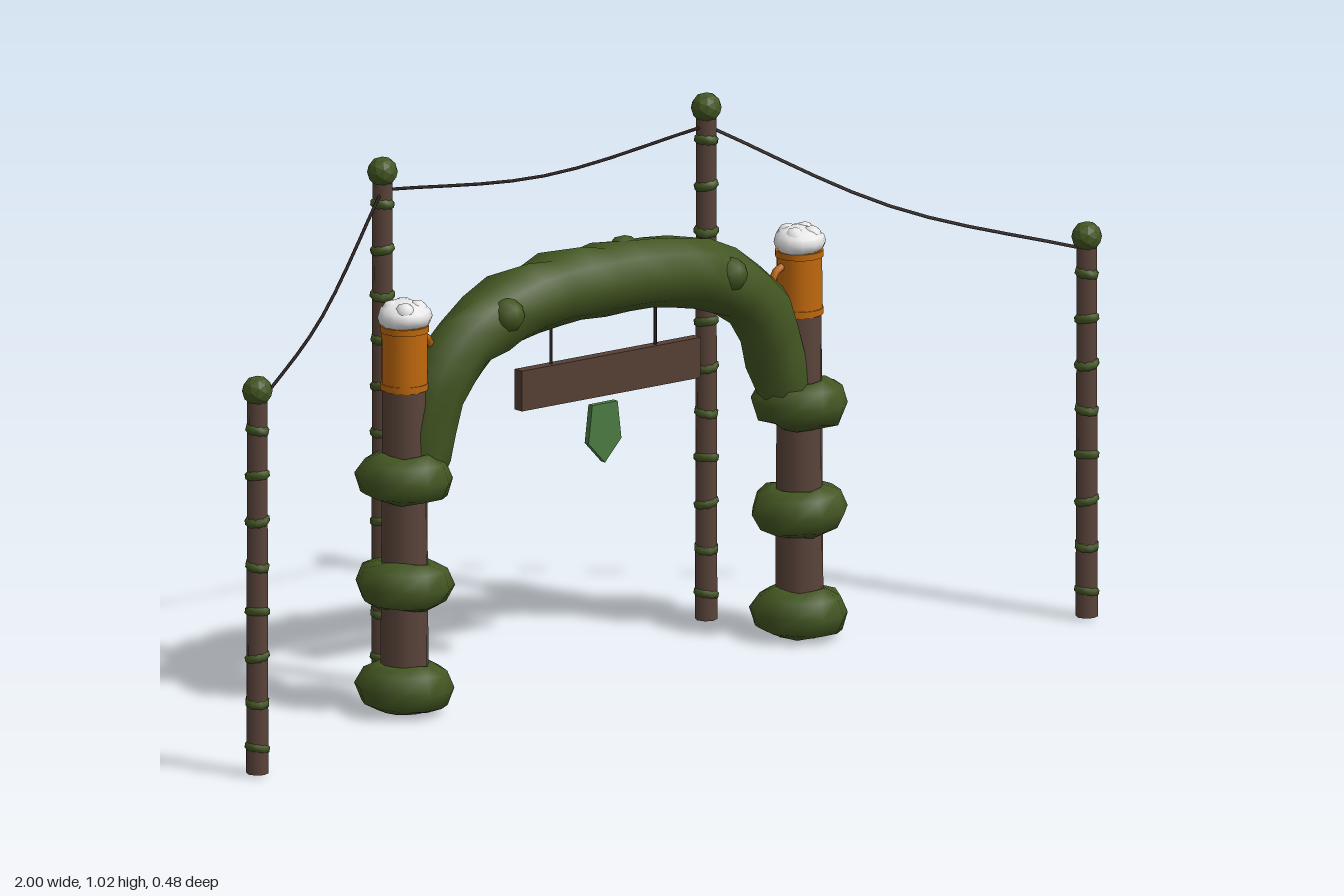
import * as THREE from 'three';
import { mergeVertices } from 'three/addons/utils/BufferGeometryUtils.js';

const mat = (name, color, extra = {}) => {
  const m = new THREE.MeshStandardMaterial({ color, ...extra });
  m.name = name;
  return m;
};
const V = (x, y, z) => new THREE.Vector3(x, y, z);

export function createModel() {
  const root = new THREE.Group();
  root.name = 'festivalArch';

  const moss = mat('moss green', 0x435622);
  const mossFacet = moss.clone();
  mossFacet.flatShading = true;
  const wood = mat('brown wood', 0x5a443a);
  const sign = mat('dark sign wood', 0x553f35);
  const amber = mat('amber', 0xc0680c);
  const foam = mat('white foam', 0xeeeeee);
  const rope = mat('dark rope', 0x2e2422);
  const leaf = mat('pennant green', 0x4b7a42);

  const add = (parent, name, geometry, material, x = 0, y = 0, z = 0) => {
    const mesh = new THREE.Mesh(geometry, material);
    mesh.name = name;
    mesh.position.set(x, y, z);
    parent.add(mesh);
    return mesh;
  };

  // Weld seams and push vertices gently in and out for an organic surface
  const lumpy = (geometry, amount, phase = 0) => {
    geometry.deleteAttribute('uv');
    geometry.deleteAttribute('normal');
    const g = mergeVertices(geometry, 1e-4);
    g.computeVertexNormals();
    const p = g.attributes.position, n = g.attributes.normal;
    for (let i = 0; i < p.count; i++) {
      const x = p.getX(i), y = p.getY(i), z = p.getZ(i);
      const d = amount * Math.sin(x * 47 + phase) * Math.cos(z * 61 + y * 33 + phase * 2);
      p.setXYZ(i, x + n.getX(i) * d, y + n.getY(i) * d, z + n.getZ(i) * d);
    }
    g.computeVertexNormals();
    return g;
  };

  // Slim poles with moss tufts and a moss knob
  const poles = [
    [-0.975, 0.18, 0.75], [-0.378, -0.205, 1.0],
    [0.395, -0.21, 1.0], [0.97, 0.212, 0.745],
  ];
  poles.forEach(([x, z, h], k) => {
    const pole = new THREE.Group();
    pole.name = 'pole' + (k + 1);
    pole.position.set(x, 0, z);
    root.add(pole);
    add(pole, 'poleShaft', new THREE.CylinderGeometry(0.019, 0.021, h - 0.01, 8), wood, 0, (h + 0.01) / 2, 0);
    for (let i = 0, y = 0.06; y < h - 0.05; i++, y += 0.0878) {
      const tuft = add(pole, 'poleMoss', new THREE.SphereGeometry(0.025, 8, 5), moss, 0, y, 0);
      tuft.scale.y = 0.6;
      tuft.rotation.set(0, i * 1.3, i % 2 ? 0.25 : -0.25);
    }
    add(pole, 'poleKnob', new THREE.IcosahedronGeometry(0.029, 1), mossFacet, 0, h, 0);
  });

  // Sagging ropes from pole to pole
  const ropes = [
    [V(-0.975, 0.72, 0.18), V(-0.67, 0.803, -0.015), V(-0.378, 0.965, -0.205)],
    [V(-0.378, 0.965, -0.205), V(0.008, 0.93, -0.207), V(0.395, 0.965, -0.21)],
    [V(0.395, 0.965, -0.21), V(0.68, 0.803, -0.005), V(0.97, 0.72, 0.212)],
  ];
  ropes.forEach((pts) =>
    add(root, 'rope', new THREE.TubeGeometry(new THREE.CatmullRomCurve3(pts), 10, 0.0033, 5), rope));

  // Pillars wrapped in moss, each topped with a frothy mug
  for (const [s, z] of [[-1, -0.026], [1, -0.016]]) {
    const pillar = new THREE.Group();
    pillar.name = s < 0 ? 'rightPillar' : 'leftPillar';
    pillar.position.set(s * 0.465, 0, z);
    root.add(pillar);
    add(pillar, 'pillarShaft', new THREE.CylinderGeometry(0.042, 0.046, 0.62, 12), wood, 0, 0.32, 0);
    [0.054, 0.253, 0.46].forEach((y, i) => {
      const ring = new THREE.TorusGeometry(0.048, 0.045, 8, 11).rotateX(Math.PI / 2);
      const m = add(pillar, 'mossRing', lumpy(ring, 0.005, i + s), moss, 0, y, 0);
      m.rotation.z = -0.05 * (i === 1 ? -s : 1);
    });
    add(pillar, 'mugBody', new THREE.CylinderGeometry(0.043, 0.044, 0.125, 16), amber, 0, 0.692, 0);
    for (const y of [0.637, 0.748])
      add(pillar, 'mugRim', new THREE.CylinderGeometry(0.046, 0.046, 0.012, 16), amber, 0, y, 0);
    const handle = add(pillar, 'mugHandle', new THREE.TorusGeometry(0.031, 0.008, 6, 14), amber, -s * 0.04, 0.695, 0);
    handle.scale.x = 0.8;
    const head = lumpy(new THREE.SphereGeometry(0.051, 12, 8).scale(1, 0.62, 1), 0.003, s);
    add(pillar, 'mugFoam', head, foam, 0, 0.77, 0);
    for (let i = 0; i < 4; i++) {
      const a = i * 1.6 + s;
      add(pillar, 'foamBubble', new THREE.IcosahedronGeometry(0.02, 1), foam,
        Math.cos(a) * 0.024, 0.782, Math.sin(a) * 0.024);
    }
  }

  // Mossy arch: a tube that swells towards the middle
  const half = [[0.44, 0.44], [0.415, 0.55], [0.358, 0.67], [0.25, 0.738], [0.11, 0.766]];
  const path = new THREE.CatmullRomCurve3([
    ...half.map(([x, y]) => V(-x, y, -0.022)),
    V(0, 0.768, -0.02),
    ...half.slice().reverse().map(([x, y]) => V(x, y, -0.018)),
  ]);
  const segs = 22, sides = 9;
  const tube = new THREE.TubeGeometry(path, segs, 1, sides);
  const tp = tube.attributes.position;
  const v = V(0, 0, 0);
  for (let i = 0; i <= segs; i++) {
    const c = path.getPointAt(i / segs);
    const r = 0.042 + 0.027 * Math.sqrt(Math.sin(Math.PI * Math.min(1, Math.max(0, i / segs))));
    for (let j = 0; j <= sides; j++) {
      const k = i * (sides + 1) + j;
      v.fromBufferAttribute(tp, k).sub(c).multiplyScalar(r).add(c);
      tp.setXYZ(k, v.x, v.y, v.z);
    }
  }
  add(root, 'mossArch', lumpy(tube, 0.008, 0.6), moss);
  // Small tufts along the arch
  for (const [x, y, z] of [[0.06, 0.81, -0.03], [0.02, 0.775, -0.075], [-0.26, 0.75, 0.025], [0.27, 0.745, 0.025]])
    add(root, 'archTuft', new THREE.IcosahedronGeometry(0.033, 1), moss, x, y, z);

  // Hanging board with two cords and a pennant below
  const board = add(root, 'signBoard', new THREE.BoxGeometry(0.425, 0.078, 0.022), sign, 0.013, 0.585, -0.02);
  board.rotation.z = -0.005;
  for (const x of [-0.122, 0.126])
    add(root, 'signCord', new THREE.CylinderGeometry(0.003, 0.003, 0.12, 5), rope, x, 0.675, -0.02);
  const shape = new THREE.Shape([[-0.03, 0.055], [-0.039, -0.018], [0, -0.06], [0.039, -0.018], [0.03, 0.055]]
    .map(([x, y]) => new THREE.Vector2(x, y)));
  add(root, 'pennant', new THREE.ExtrudeGeometry(shape, { depth: 0.012, bevelEnabled: false }), leaf, 0.002, 0.475, -0.026);

  return root;
}
